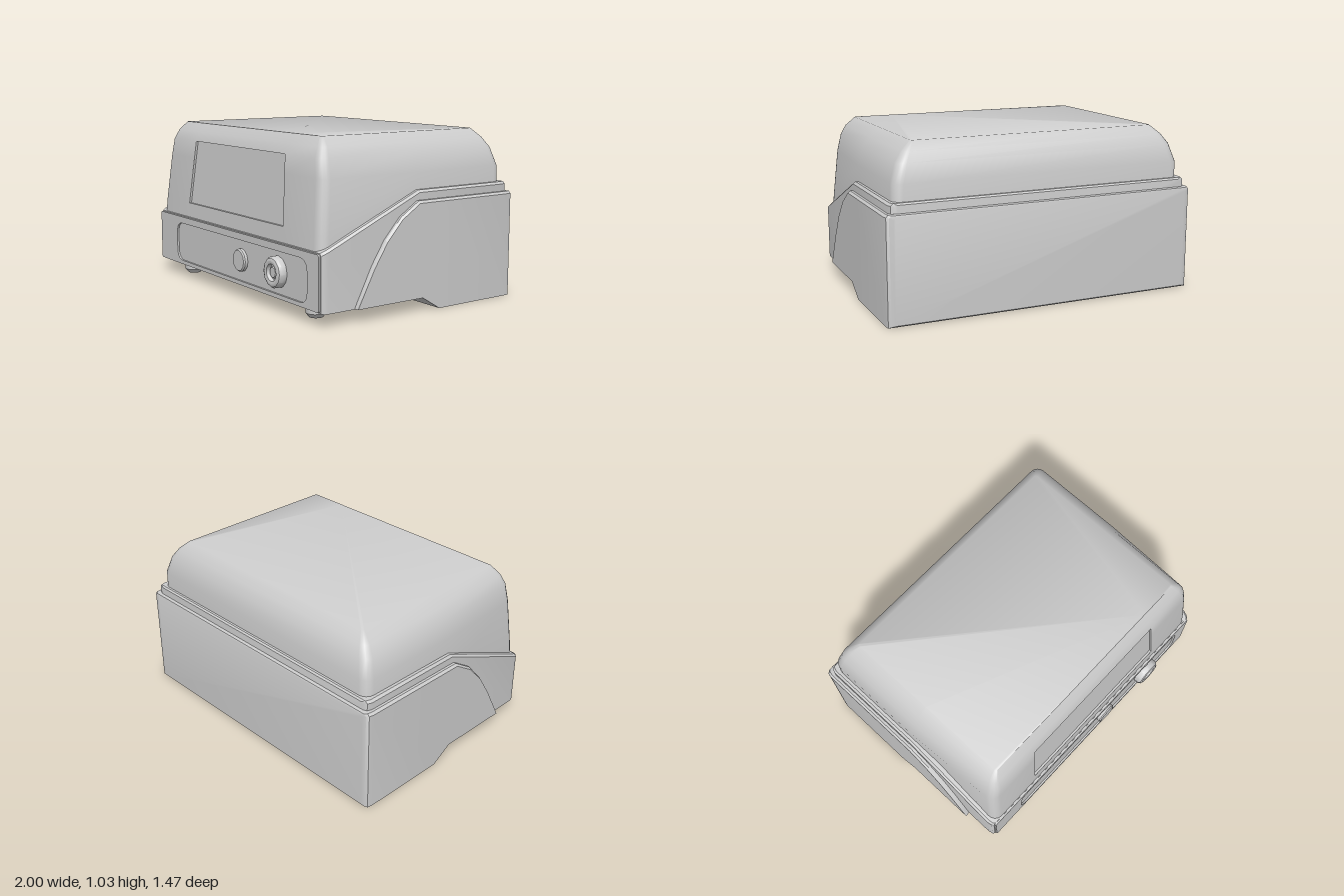
import * as THREE from 'three';
import { toCreasedNormals } from 'three/addons/utils/BufferGeometryUtils.js';

const material = new THREE.MeshStandardMaterial({ color: 0xcccccc });

function addMesh(parent, name, geometry) {
  const mesh = new THREE.Mesh(geometry, material);
  mesh.name = name;
  parent.add(mesh);
  return mesh;
}

// Skin a list of equal-length rings; optional end caps, and a test for faces to leave open.
function loft(rings, { start = true, end = true, skip = () => false, crease = 0.55 } = {}) {
  const n = rings[0].length;
  const index = [];
  for (let k = 0; k < rings.length - 1; k++) {
    for (let i = 0; i < n; i++) {
      if (skip(k, i)) continue;
      const a = k * n + i, b = k * n + (i + 1) % n;
      index.push(a, b, b + n, a, b + n, a + n);
    }
  }
  const last = (rings.length - 1) * n;
  for (let i = 1; i < n - 1; i++) {
    if (start) index.push(0, i + 1, i);
    if (end) index.push(last, last + i, last + i + 1);
  }
  const geometry = new THREE.BufferGeometry();
  geometry.setAttribute('position', new THREE.Float32BufferAttribute(rings.flat(2), 3));
  geometry.setIndex(index);
  return toCreasedNormals(geometry, crease);
}

// Cross-section of a housing at one z, with chamfered upper edges.
function section([z, w, bottom, top], c = 0.014) {
  const shoulder = Math.max(bottom, top - c);
  return [[w, bottom, z], [w, shoulder, z], [w - c, top, z],
    [-w + c, top, z], [-w, shoulder, z], [-w, bottom, z]];
}

// Rounded plan outline of the lid at one height; sides taper towards the front.
function lidRing([y, wFront, wBack, zFront, zBack, r]) {
  const split = screenHalfWidth(y);
  const half = [[split, zFront]];
  const arc = (cx, cz, from) => {
    for (let i = 0; i <= 4; i++) {
      const a = from - (i / 4) * Math.PI / 2;
      half.push([cx + r * Math.cos(a), cz + r * Math.sin(a)]);
    }
  };
  arc(wFront - r, zFront - r, Math.PI / 2);
  half.push([wBack, 0]);
  arc(wBack - r, zBack + r, 0);
  const mirrored = half.map(([x, z]) => [-x, z]).reverse();
  return [...half, ...mirrored].map(([x, z]) => [x, y, z]);
}

const screenHalfWidth = (y) => 0.565 - 0.035 * THREE.MathUtils.clamp((y - 0.51) / 0.41, 0, 1);

function chamferedRect(target, x0, x1, y0, y1, r) {
  target.moveTo(x0 + r, y0);
  target.lineTo(x1 - r, y0);
  target.quadraticCurveTo(x1, y0, x1, y0 + r);
  target.lineTo(x1, y1 - r);
  target.quadraticCurveTo(x1, y1, x1 - r, y1);
  target.lineTo(x0 + r, y1);
  target.quadraticCurveTo(x0, y1, x0, y1 - r);
  target.lineTo(x0, y0 + r);
  target.quadraticCurveTo(x0, y0, x0 + r, y0);
  return target;
}

function turned(points, sides, crease = 0.6) {
  const profile = points.map(([r, h]) => new THREE.Vector2(r, h));
  return toCreasedNormals(new THREE.LatheGeometry(profile, sides), crease);
}

export function createModel() {
  const model = new THREE.Group();
  model.name = 'benchInstrument';

  // Outer shell: swept front edge, stepped underside; [z, half width, bottom, top]
  addMesh(model, 'outerShell', loft([
    [-0.735, 0.955, 0.012, 0.638], [-0.73, 0.98, 0.006, 0.648], [-0.718, 0.994, 0, 0.652],
    [-0.69, 1, 0, 0.652], [-0.14, 1, 0, 0.652], [-0.01, 1, 0.08, 0.652], [0.02, 1, 0.08, 0.652],
    [0.15, 1, 0.08, 0.57], [0.26, 1, 0.08, 0.45], [0.35, 1, 0.08, 0.31], [0.465, 1, 0.08, 0.085],
  ].map((s) => section(s))));

  // Inner housing: low at the front, rising to the level rear rim
  addMesh(model, 'innerHousing', loft([
    [-0.71, 0.935, 0.09, 0.7], [-0.7, 0.96, 0.09, 0.71], [-0.67, 0.97, 0.09, 0.71],
    [0, 0.97, 0.077, 0.71], [0.645, 0.97, 0.077, 0.434],
    [0.672, 0.963, 0.077, 0.422], [0.684, 0.952, 0.08, 0.414],
  ].map((s) => section(s))));

  // Front fascia with a shallow control recess
  const fascia = chamferedRect(new THREE.Shape(), -0.945, 0.945, 0.085, 0.408, 0.015);
  fascia.holes.push(chamferedRect(new THREE.Path(), -0.71, 0.835, 0.11, 0.365, 0.075));
  addMesh(model, 'frontFascia', new THREE.ExtrudeGeometry(fascia,
    { depth: 0.013, bevelEnabled: false, curveSegments: 5 })).position.z = 0.683;

  // Lid: [height, front half width, rear half width, front z, rear z, corner radius]
  const lidRows = [
    [0.38, 0.942, 0.942, 0.683, -0.687, 0.06], [0.51, 0.932, 0.942, 0.675, -0.687, 0.06],
    [0.81, 0.905, 0.936, 0.646, -0.685, 0.06], [0.92, 0.88, 0.9, 0.635, -0.655, 0.055],
    [0.98, 0.85, 0.855, 0.607, -0.62, 0.04], [1.035, 0.79, 0.79, 0.565, -0.57, 0.015],
  ];
  const lidRings = lidRows.map(lidRing);
  const frontFace = lidRings[0].length - 1;
  addMesh(model, 'lid', loft(lidRings, {
    start: false, crease: 0.9, skip: (k, i) => i === frontFace && (k === 1 || k === 2),
  }));

  // Recessed screen set into the opening in the lid
  const screenRing = (inset) => [[-0.565, 0.51, 0.675], [0.565, 0.51, 0.675],
    [0.53, 0.92, 0.635], [-0.53, 0.92, 0.635]].map(([x, y, z]) => [x, y, z - inset]);
  addMesh(model, 'screen', loft([screenRing(0), screenRing(0.014)], { start: false }));

  // Push button and ring-shaped connector, turned to face forwards
  const button = addMesh(model, 'pushButton',
    turned([[0.072, 0], [0.072, 0.022], [0.064, 0.03], [0, 0.03]], 12));
  button.position.set(0.118, 0.24, 0.68);
  const connector = addMesh(model, 'connector', turned([
    [0.095, 0], [0.095, 0.035], [0.085, 0.05], [0.07, 0.056], [0.052, 0.052],
    [0.045, 0.03], [0.036, 0.03], [0.03, 0.042], [0, 0.042]], 12));
  connector.position.set(0.525, 0.24, 0.68);
  for (const part of [button, connector]) part.rotation.x = Math.PI / 2;

  // Front feet
  const foot = turned([[0, 0], [0.042, 0], [0.063, 0.026], [0.063, 0.09]], 16);
  for (const side of [-1, 1]) {
    addMesh(model, side > 0 ? 'leftFoot' : 'rightFoot', foot).position.set(side * 0.73, 0, 0.56);
  }

  return model;
}
